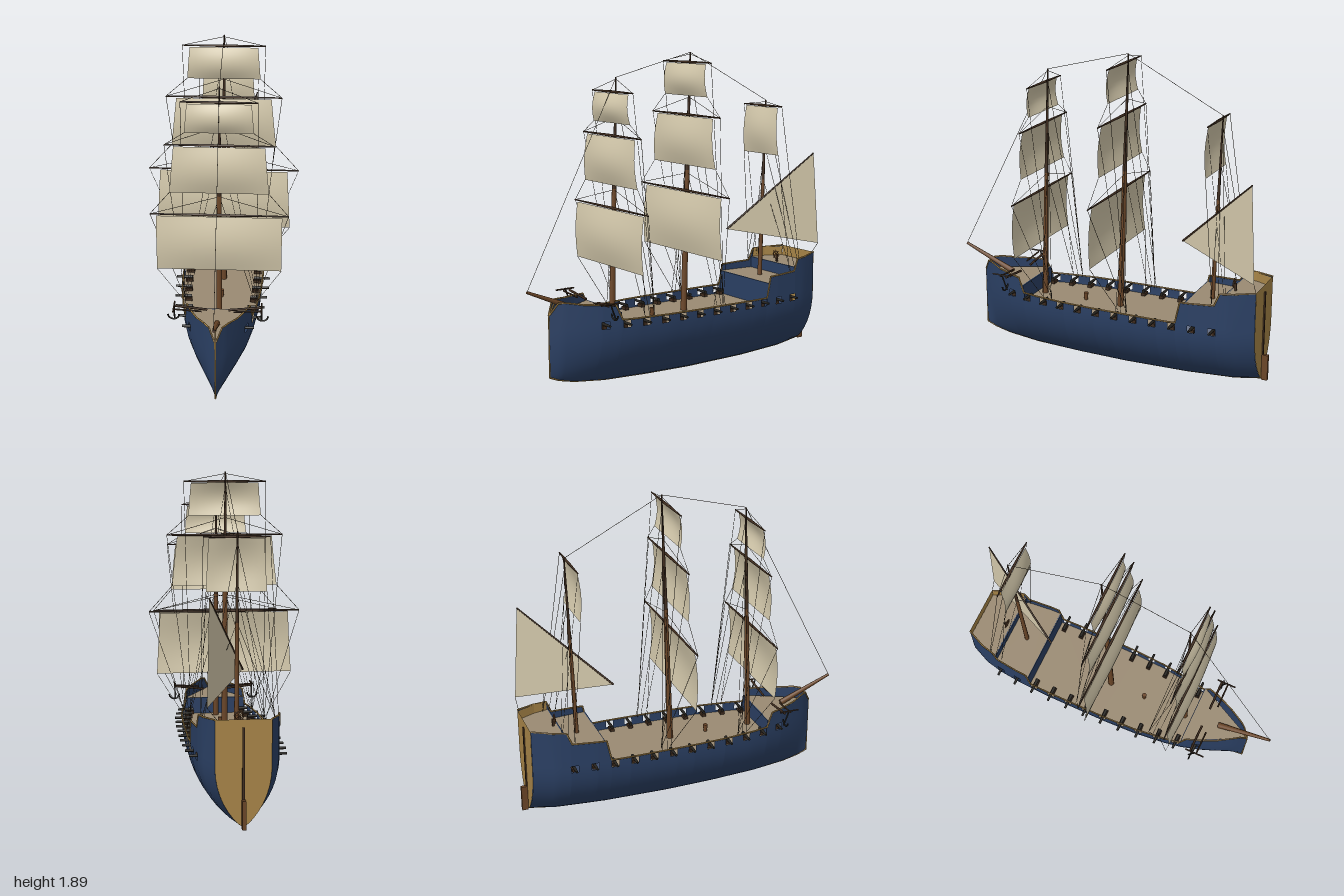
import * as THREE from 'three';
import { mergeGeometries } from 'three/addons/utils/BufferGeometryUtils.js';

const mat = (name, color, side = THREE.FrontSide) => {
  const m = new THREE.MeshStandardMaterial({ color, side });
  m.name = name;
  return m;
};
const M = {
  hull: mat('hull blue', 0x2b4064, THREE.DoubleSide),
  gold: mat('ochre trim', 0xa88548, THREE.DoubleSide),
  deck: mat('deck planks', 0x9a8a72, THREE.DoubleSide),
  sail: mat('canvas', 0xd3c8ab, THREE.DoubleSide),
  wood: mat('mast wood', 0x6b4628),
  dark: mat('dark spar wood', 0x3f2c1e),
  iron: mat('iron', 0x25231f),
  rope: mat('rope', 0x3a3226),
};

const V = (x, y, z) => new THREE.Vector3(x, y, z);
const lerp = THREE.MathUtils.lerp;

// Linear lookup in [z, value] pairs running from bow to stern
function table(t, z) {
  for (let i = 0; i < t.length - 1; i++) {
    const [a, va] = t[i], [b, vb] = t[i + 1];
    if (z >= b) return lerp(va, vb, THREE.MathUtils.clamp((a - z) / (a - b), 0, 1));
  }
  return t[t.length - 1][1];
}
const BEAM = [[0.86, 0.004], [0.8, 0.052], [0.7, 0.112], [0.6, 0.156], [0.5, 0.188], [0.4, 0.208], [0.2, 0.232],
  [0, 0.241], [-0.4, 0.244], [-0.6, 0.237], [-0.75, 0.222], [-0.85, 0.2], [-0.96, 0.15]];
const KEEL = [[0.86, 0.09], [0.8, 0.066], [0.7, 0.043], [0.5, 0.02], [0.2, 0.008], [-0.1, 0.003], [-0.5, 0.01], [-0.8, 0.028], [-0.96, 0.055]];
const TOP = [[0.86, 0.45], [0.82, 0.52], [0.78, 0.522], [0.7, 0.51], [0.53, 0.5], [0.492, 0.412], [-0.513, 0.412],
  [-0.54, 0.54], [-0.74, 0.548], [-0.77, 0.62], [-0.96, 0.632]];
const beam = z => table(BEAM, z), keel = z => table(KEEL, z), top = z => table(TOP, z);
const PORT0 = 0.365, PORT1 = 0.405;
const ports = Array.from({ length: 12 }, (_, i) => 0.585 - i * 0.1195);
const halfWidth = (z, y) => {
  const t = THREE.MathUtils.clamp((y - keel(z)) / (0.38 - keel(z)), 0, 1);
  return beam(z) * Math.sin(Math.PI / 2 * Math.pow(t, 0.75));
};
const stations = [...new Set([...BEAM, ...KEEL, ...TOP].map(p => p[0])
  .concat(ports.flatMap(p => [p + 0.022, p - 0.022])))].sort((a, b) => b - a);

function mesh(parent, name, geo, material) {
  const m = new THREE.Mesh(geo, material);
  m.name = name;
  parent.add(m);
  return m;
}
// Tapered round bar between two points
function rod(a, b, r0, r1 = r0, sides = 8) {
  const d = b.clone().sub(a);
  const g = new THREE.CylinderGeometry(r1, r0, d.length(), sides);
  g.applyQuaternion(new THREE.Quaternion().setFromUnitVectors(V(0, 1, 0), d.normalize()));
  return g.translate((a.x + b.x) / 2, (a.y + b.y) / 2, (a.z + b.z) / 2);
}
const chain = (pts, r) => mergeGeometries(pts.slice(1).map((p, i) => rod(pts[i], p, r, r, 5)));
const box = (w, h, d, x, y, z) => new THREE.BoxGeometry(w, h, d).translate(x, y, z);

// Hull side skinned through the stations, leaving the gun ports open
function hullSide(s) {
  const pos = [], idx = [], low = 10, rows = low + 3;
  for (const z of stations) {
    const k = keel(z);
    for (let j = 0; j < rows; j++) {
      const y = j <= low ? lerp(k, PORT0, Math.pow(j / low, 1.4)) : j === low + 1 ? PORT1 : top(z);
      pos.push(s * halfWidth(z, y), y, z);
    }
  }
  for (let i = 0; i < stations.length - 1; i++) {
    const mid = (stations[i] + stations[i + 1]) / 2;
    const open = ports.some(p => Math.abs(mid - p) < 0.022);
    for (let j = 0; j < rows - 1; j++) {
      if (open && j === low) continue;
      const a = i * rows + j, b = a + rows, c = b + 1, d = a + 1;
      if (s > 0) idx.push(a, b, c, a, c, d);
      else idx.push(a, c, b, a, d, c);
    }
  }
  const g = new THREE.BufferGeometry();
  g.setAttribute('position', new THREE.Float32BufferAttribute(pos, 3));
  g.setIndex(idx);
  g.computeVertexNormals();
  return g;
}
const mirrored = pts => new THREE.Shape([...pts, ...pts.slice().reverse().map(p => new THREE.Vector2(-p.x, p.y))]);
function deck(z0, z1, y) {
  const zs = [z0, ...stations.filter(z => z < z0 && z > z1), z1];
  const shape = mirrored(zs.map(z => new THREE.Vector2(halfWidth(z, y) - 0.002, z)));
  return new THREE.ShapeGeometry(shape).rotateX(Math.PI / 2).translate(0, y, 0);
}

// Square sail hung from its yard and bellied forward
function squareSail(wTop, wBot, y1, y0, z1, z0) {
  const g = new THREE.PlaneGeometry(2, 1, 10, 10), p = g.attributes.position;
  for (let i = 0; i < p.count; i++) {
    const u = p.getX(i), v = p.getY(i) + 0.5;
    const belly = 0.03 * Math.sin(Math.PI * v) * (0.45 + 0.55 * Math.cos(u * Math.PI / 2));
    p.setXYZ(i, u * lerp(wBot, wTop, v), lerp(y0, y1, v), lerp(z0, z1, v) + belly);
  }
  g.computeVertexNormals();
  return g;
}

export function createModel() {
  const ship = new THREE.Group();
  ship.name = 'sailingShip';

  // Hull, trim and decks
  for (const s of [1, -1]) {
    const side = s > 0 ? 'left' : 'right';
    mesh(ship, side + 'HullSide', hullSide(s), M.hull);
    mesh(ship, side + 'Rail', chain(stations.map(z => V(s * beam(z), top(z), z)), 0.005), M.gold);
    // Ochre lining of the poop bulwark
    const zs = [-0.77, -0.85, -0.958];
    for (let i = 0; i < 2; i++) {
      const a = V(s * (beam(zs[i]) - 0.004), 0, zs[i]), b = V(s * (beam(zs[i + 1]) - 0.004), 0, zs[i + 1]);
      const g = new THREE.PlaneGeometry(a.distanceTo(b), 0.055);
      g.rotateY(Math.atan2(a.z - b.z, b.x - a.x)).translate((a.x + b.x) / 2, 0.596, (a.z + b.z) / 2);
      mesh(ship, side + 'PoopLining', g, M.gold);
    }
  }
  const keelLine = stations.slice().reverse().map(z => V(0, keel(z) + 0.002, z));
  mesh(ship, 'keelAndStem', chain([...keelLine, V(0, 0.45, 0.86), V(0, 0.52, 0.822)], 0.005), M.gold);
  const section = Array.from({ length: 13 }, (_, j) => {
    const y = lerp(0.055, 0.632, Math.pow(j / 12, 1.4));
    return new THREE.Vector2(Math.max(halfWidth(-0.96, y), 0.001), y);
  });
  mesh(ship, 'transom', new THREE.ShapeGeometry(mirrored(section)).translate(0, 0, -0.961), M.gold);
  mesh(ship, 'mainDeck', deck(0.5, -0.53, 0.355), M.deck);
  mesh(ship, 'forecastleDeck', deck(0.5, 0.85, 0.455).scale(1, 1, 1), M.deck);
  mesh(ship, 'quarterDeck', deck(-0.53, -0.76, 0.5), M.deck);
  mesh(ship, 'poopDeck', deck(-0.76, -0.958, 0.568), M.deck);
  for (const [z, y0, y1] of [[0.5, 0.355, 0.455], [-0.53, 0.355, 0.5], [-0.76, 0.5, 0.568]])
    mesh(ship, 'bulkhead', box(2 * beam(z) - 0.006, y1 - y0, 0.008, 0, (y0 + y1) / 2, z), M.hull);

  // Rudder and sternpost
  mesh(ship, 'rudder', box(0.02, 0.155, 0.036, 0, 0.127, -0.982), M.wood);
  mesh(ship, 'sternpost', box(0.014, 0.53, 0.008, 0, 0.325, -0.966), M.dark);

  // Cannons at every port
  for (const s of [1, -1]) for (const z of ports) {
    const x = beam(z), cannon = new THREE.Group();
    cannon.name = 'cannon';
    mesh(cannon, 'barrel', rod(V(s * (x - 0.055), 0.388, z), V(s * (x + 0.042), 0.388, z), 0.01, 0.007), M.iron);
    mesh(cannon, 'carriage', box(0.045, 0.018, 0.026, s * (x - 0.036), 0.369, z), M.dark);
    ship.add(cannon);
  }

  // Masts, yards and square sails: yards are [height, half length, sail top, sail bottom, sail foot height]
  const ropes = [];
  const masts = [
    { name: 'fore', foot: V(0, 0.355, 0.445), head: V(0, 1.755, 0.405), r: 0.018, shroudZ: [0.35, 0.32, 0.29], railY: 0.41,
      yards: [[1.02, 0.385, 0.35, 0.35, 0.685], [1.43, 0.3, 0.25, 0.275, 1.15], [1.675, 0.21, 0.175, 0.19, 1.5]] },
    { name: 'main', foot: V(0, 0.355, -0.065), head: V(0, 1.885, -0.11), r: 0.019, shroudZ: [-0.14, -0.17, -0.2], railY: 0.41,
      yards: [[1.08, 0.44, 0.375, 0.395, 0.715], [1.525, 0.335, 0.275, 0.305, 1.23], [1.83, 0.237, 0.195, 0.21, 1.635]] },
    { name: 'mizzen', foot: V(0, 0.5, -0.65), head: V(0, 1.585, -0.685), r: 0.014, shroudZ: [-0.72, -0.76, -0.8], railY: 0.55,
      yards: [[1.555, 0.18, 0.15, 0.165, 1.26]] },
  ];
  for (const m of masts) {
    const at = y => m.foot.clone().lerp(m.head, (y - m.foot.y) / (m.head.y - m.foot.y));
    const joint = at(lerp(m.foot.y, m.head.y, 0.55));
    mesh(ship, m.name + 'LowerMast', rod(m.foot, joint, m.r, m.r * 0.72, 10), M.wood);
    mesh(ship, m.name + 'UpperMast', rod(joint, m.head, m.r * 0.7, 0.004, 10), M.dark);
    m.yards.forEach(([y, half, wTop, wBot, y0], i) => {
      const z = at(y).z + 0.024, zFoot = at(y0).z + 0.024;
      for (const s of [1, -1]) {
        mesh(ship, m.name + 'Yard', rod(V(0, y, z), V(s * half, y, z), 0.008, 0.004), M.dark);
        // Braces, sheets and lifts
        const below = m.yards[i - 1];
        const tip = V(s * half, y, z), end = V(s * 0.21, m.railY, m.shroudZ[2]);
        ropes.push([tip, end], [tip, at(Math.min(y + 0.1, m.head.y - 0.01))]);
        ropes.push([V(s * wBot, y0, zFoot), below ? V(s * below[1], below[0], at(below[0]).z + 0.024) : V(s * 0.2, m.railY, m.shroudZ[0])]);
      }
      mesh(ship, m.name + 'Sail', squareSail(wTop, wBot, y - 0.008, y0, z + 0.006, zFoot), M.sail);
    });
    // Shrouds to the rail
    const h = m.head.y - m.foot.y;
    for (const s of [1, -1]) m.shroudZ.forEach((z, i) =>
      ropes.push([at(m.foot.y + h * [0.55, 0.75, 0.95][i]), V(s * (beam(z) - 0.01), m.railY, z)]));
  }
  const [fore, main, mizzen] = masts.map(m => m.head), spritTip = V(0, 0.598, 0.995);
  ropes.push([spritTip, fore], [fore, main], [main, mizzen]);
  mesh(ship, 'bowsprit', rod(V(0, 0.46, 0.67), spritTip, 0.018, 0.008, 10), M.wood);

  // Lateen sail on its slanting yard
  const low = V(-0.06, 0.8, -0.435), peak = V(0.175, 1.26, -0.925), clew = V(0.19, 0.695, -0.96);
  const lateen = new THREE.BufferGeometry().setFromPoints([low, clew, peak]);
  lateen.computeVertexNormals();
  mesh(ship, 'lateenSail', lateen, M.sail);
  mesh(ship, 'lateenYard', rod(low, peak, 0.006, 0.004), M.dark);
  ropes.push([clew, V(0.14, 0.632, -0.955)]);
  mesh(ship, 'rigging', mergeGeometries(ropes.map(([a, b]) => rod(a, b, 0.0014, 0.0014, 4))), M.rope);

  // Catheads with anchors
  for (const s of [1, -1]) {
    const anchor = new THREE.Group();
    anchor.name = 'anchor';
    mesh(anchor, 'cathead', rod(V(s * 0.06, 0.495, 0.58), V(s * 0.245, 0.515, 0.58), 0.007, 0.007, 6), M.dark);
    mesh(anchor, 'forwardBeam', rod(V(s * 0.09, 0.505, 0.62), V(s * 0.245, 0.515, 0.62), 0.005, 0.005, 6), M.dark);
    mesh(anchor, 'stock', rod(V(s * 0.245, 0.525, 0.55), V(s * 0.245, 0.525, 0.67), 0.005, 0.005, 6), M.dark);
    mesh(anchor, 'shank', rod(V(s * 0.245, 0.53, 0.61), V(s * 0.245, 0.435, 0.575), 0.005, 0.005, 6), M.iron);
    const arms = new THREE.TorusGeometry(0.032, 0.005, 6, 12, Math.PI).rotateZ(Math.PI);
    mesh(anchor, 'arms', arms.translate(s * 0.25, 0.466, 0.585), M.iron);
    ship.add(anchor);
  }

  // Steering wheel and capstan
  const wheel = new THREE.Group();
  wheel.name = 'steeringWheel';
  mesh(wheel, 'rim', new THREE.TorusGeometry(0.023, 0.003, 6, 20), M.wood);
  for (let i = 0; i < 4; i++)
    mesh(wheel, 'spoke', box(0.064, 0.003, 0.003, 0, 0, 0).rotateZ(i * Math.PI / 4), M.wood);
  mesh(wheel, 'stand', box(0.012, 0.045, 0.012, 0, -0.022, -0.009), M.dark);
  wheel.position.set(0, 0.612, -0.78);
  ship.add(wheel);
  mesh(ship, 'capstan', new THREE.CylinderGeometry(0.014, 0.011, 0.045, 12).translate(0, 0.378, 0.165), M.wood);

  return ship;
}
